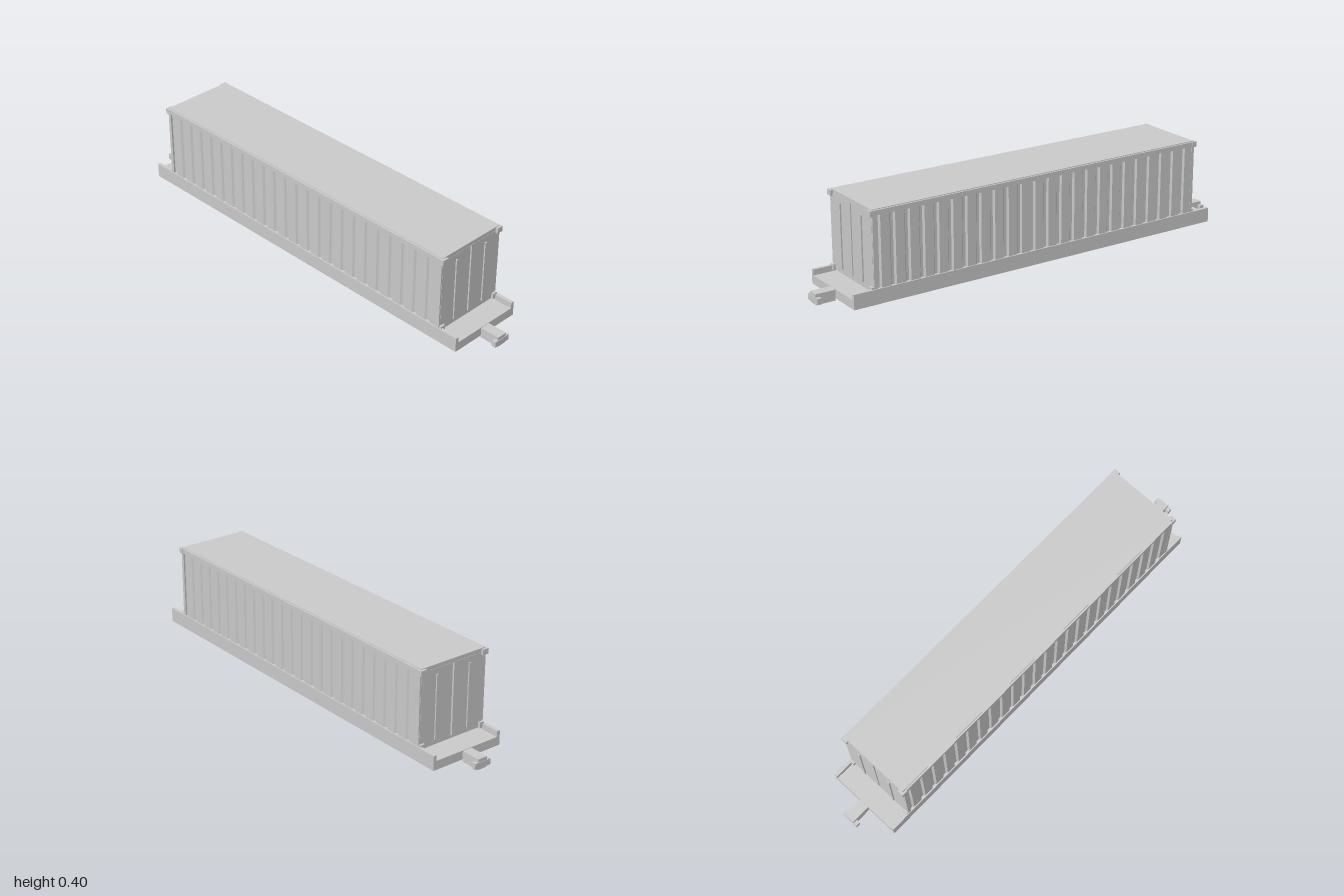
import * as THREE from 'three';

const material = new THREE.MeshStandardMaterial({ color: 0xcccccc, flatShading: true });

export function createModel() {
  const model = new THREE.Group();
  model.name = 'containerWagon';

  const add = (name, geometry, parent = model) => {
    const mesh = new THREE.Mesh(geometry, material);
    mesh.name = name;
    parent.add(mesh);
    return mesh;
  };
  // Box given by its lower and upper limits on each axis
  const box = (name, [x0, x1], [y0, y1], [z0, z1], parent) => {
    const mesh = add(name, new THREE.BoxGeometry(x1 - x0, y1 - y0, z1 - z0), parent);
    mesh.position.set((x0 + x1) / 2, (y0 + y1) / 2, (z0 + z1) / 2);
    return mesh;
  };
  const span = (side, a, b) => (side > 0 ? [a, b] : [-b, -a]);

  // Wagon: flat deck with raised side sills
  const wagon = new THREE.Group();
  wagon.name = 'wagon';
  model.add(wagon);
  box('deck', [-0.174, 0.174], [0.011, 0.05], [-0.91, 0.91], wagon);
  for (const s of [-1, 1]) {
    box('sideSill', span(s, 0.159, 0.174), [0.05, 0.075], [-0.91, 0.91], wagon);
    // Coupler at each end
    box('couplerShank', [-0.023, 0.023], [0.002, 0.048], span(s, 0.91, 0.998), wagon);
    box('couplerHead', [-0.04, 0.04], [0.008, 0.034], span(s, 0.98, 1), wagon);
  }

  // Container
  const container = new THREE.Group();
  container.name = 'container';
  model.add(container);

  // Corrugated side walls: one closed plan outline with trapezoid ribs, pulled up
  const ribs = 24, zEnd = 0.805, pitch = (2 * zEnd) / ribs;
  const right = [];
  for (let i = 0; i < ribs; i++) {
    const z = -zEnd + i * pitch;
    right.push([0.169, z], [0.169, z + pitch * 0.62], [0.161, z + pitch * 0.72], [0.161, z + pitch * 0.9]);
  }
  right.push([0.169, zEnd]);
  const outline = [...right, ...right.map(([x, z]) => [-x, -z])].map(([x, z]) => new THREE.Vector2(x, -z));
  const walls = new THREE.ExtrudeGeometry(new THREE.Shape(outline), { depth: 0.33, bevelEnabled: false });
  walls.rotateX(-Math.PI / 2).translate(0, 0.058, 0);
  add('corrugatedWalls', walls, container);

  box('roof', [-0.164, 0.164], [0.385, 0.404], [-0.815, 0.815], container);
  for (const s of [-1, 1]) {
    box('topSideRail', span(s, 0.155, 0.172), [0.38, 0.401], [-0.815, 0.815], container);

    // End frame and a pair of doors with locking rods
    const z = span(s, 0.8, 0.815);
    box('endSill', [-0.165, 0.165], [0.058, 0.072], z, container);
    box('endHeader', [-0.165, 0.165], [0.388, 0.403], z, container);
    for (const t of [-1, 1]) {
      box('cornerPost', span(t, 0.155, 0.17), [0.06, 0.38], z, container);
      box('door', span(t, 0.004, 0.164), [0.073, 0.387], span(s, 0.8, 0.816), container);
      box('lockingRod', span(t, 0.079, 0.089), [0.081, 0.362], span(s, 0.81, 0.822), container);
      box('topCornerCasting', span(t, 0.145, 0.174), [0.377, 0.401], span(s, 0.801, 0.826), container);
      box('bottomCornerCasting', span(t, 0.145, 0.168), [0.058, 0.083], span(s, 0.801, 0.826), container);
    }
  }
  return model;
}
